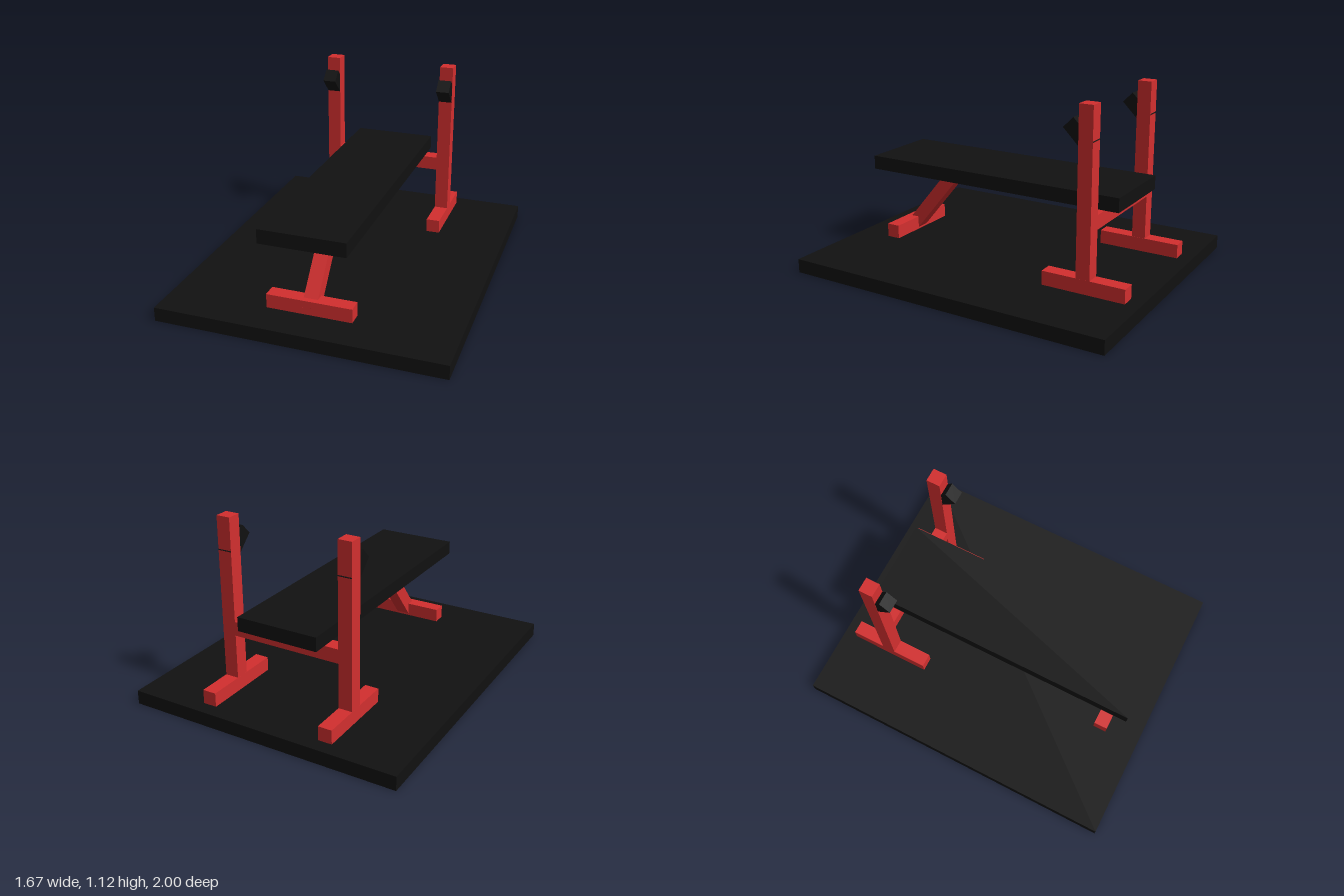
import * as THREE from 'three';

export function createModel() {
  const model = new THREE.Group();
  model.name = 'weightBench';
  const red = new THREE.MeshStandardMaterial({ color: 0xd32f2f });
  const black = new THREE.MeshStandardMaterial({ color: 0x111111 });
  const T = 1 / 12; // common beam thickness

  // Box given by size and centre, optionally tilted about x
  function box(name, material, size, centre, tilt = 0) {
    const mesh = new THREE.Mesh(new THREE.BoxGeometry(...size), material);
    mesh.name = name;
    mesh.position.set(...centre);
    mesh.rotation.x = tilt;
    model.add(mesh);
    return mesh;
  }

  // Floor mat and bench pad
  box('floorMat', black, [1.667, T, 2], [0, T / 2, 0]);
  box('benchPad', black, [0.5, T, 1.667], [0, 0.558, 0.042]);

  // Rack: a foot, upright and tilted bar hook on each side
  for (const [side, s] of [['left', 1], ['right', -1]]) {
    const x = s * 0.375;
    box(side + 'RackFoot', red, [T, T, 0.5], [x, 1.5 * T, -0.667]);
    box(side + 'Upright', red, [T, 0.958, T], [x, 0.646, -0.667]);
    // slightly narrower than the upright it passes through
    box(side + 'BarHook', black, [T - 0.002, 0.167, T], [x, 0.961, -0.6235], Math.PI / 4);
  }

  // Cross bar between the uprights, under the pad
  box('crossBar', red, [0.667, T, T], [0, 0.475, -0.667]);

  // Front foot and slanted leg, with its ends sunk in foot and pad
  box('frontFoot', red, [0.5, T, T], [0, 1.5 * T, 0.75]);
  box('frontLeg', red, [T, 0.6, T], [0, 0.329, 0.567], -0.698);

  return model;
}
